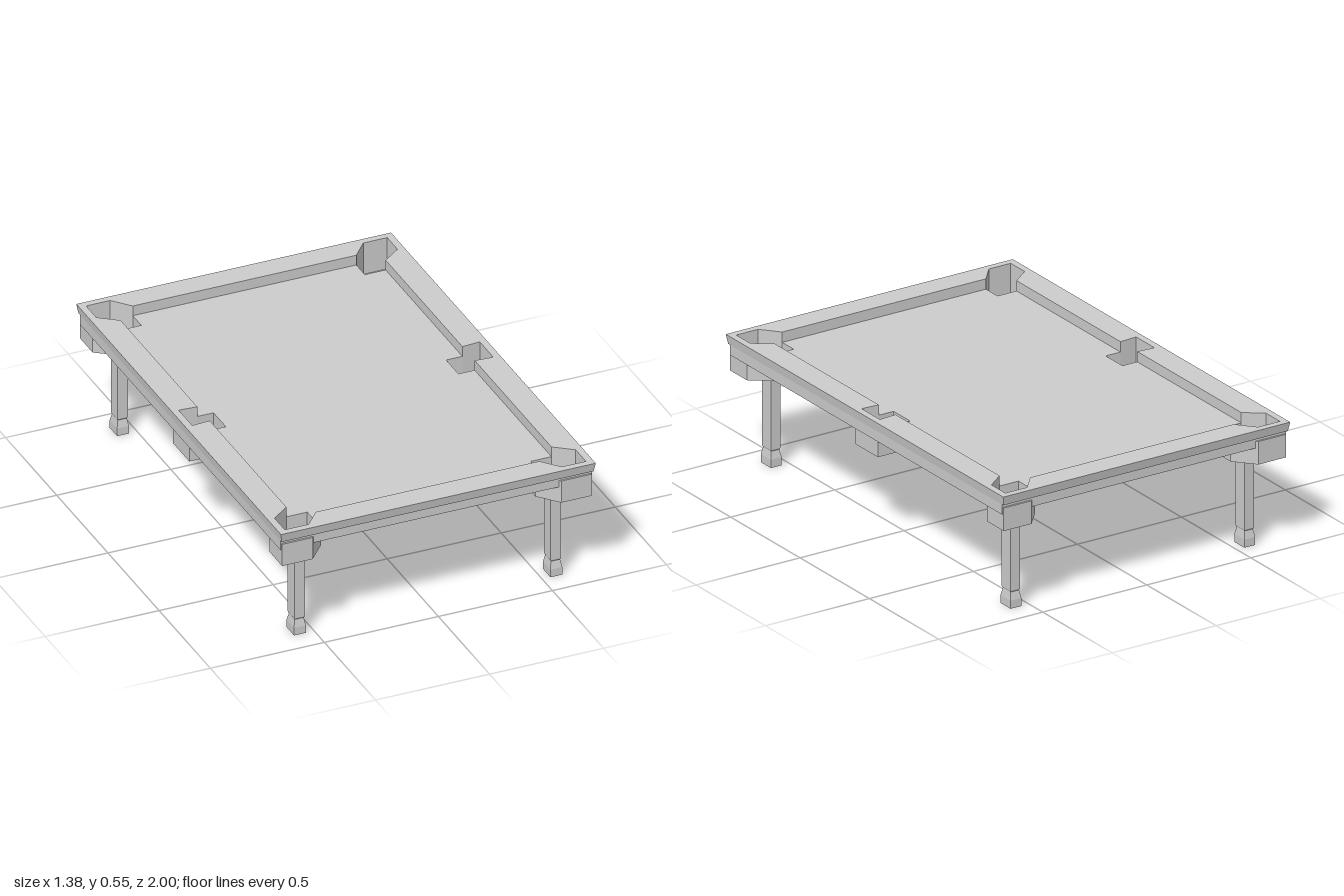
import * as THREE from 'three';

const material = new THREE.MeshStandardMaterial({ color: 0xcccccc, flatShading: true });

// Order an outline of [x, z] points as a loop of the wanted direction
function loop(outline, clockwise) {
  const pts = outline.map(([x, z]) => new THREE.Vector2(x, -z));
  return THREE.ShapeUtils.isClockWise(pts) === clockwise ? pts : pts.reverse();
}

// Extrude a plan outline from height y0 up to y1
function slab(outline, y0, y1, hole) {
  const shape = new THREE.Shape(loop(outline, false));
  if (hole) shape.holes.push(new THREE.Path(loop(hole, true)));
  const geo = new THREE.ExtrudeGeometry(shape, { depth: y1 - y0, bevelEnabled: false });
  geo.rotateX(-Math.PI / 2);
  geo.translate(0, y0, 0);
  return geo;
}

const rect = (x, z) => [[x, z], [-x, z], [-x, -z], [x, -z]];
const flip = (pts, sx, sz) => pts.map(([x, z]) => [x * sx, z * sz]);

// Mirror one quadrant of an outline into a full loop
function fourWay(q) {
  return [
    ...q,
    ...flip(q, -1, 1).reverse(),
    ...flip(q, -1, -1),
    ...flip(q, 1, -1).reverse(),
  ];
}

export function createModel() {
  const table = new THREE.Group();
  table.name = 'poolTable';
  const add = (geo, name) => {
    const mesh = new THREE.Mesh(geo, material);
    mesh.name = name;
    table.add(mesh);
    return mesh;
  };

  // Inner edge of the rails, with pocket notches
  const opening = fourWay([
    [0.66, 0.066], [0.581, 0.06], [0.581, 0.81], [0.66, 0.87],
    [0.66, 0.97], [0.555, 0.97], [0.49, 0.893],
  ]);

  // Rail cap, flaring outward towards the top
  const cap = slab(rect(0.69, 1), 0.505, 0.545, opening);
  const p = cap.attributes.position;
  for (let i = 0; i < p.count; i++) {
    if (p.getY(i) > 0.52) continue;
    p.setX(i, THREE.MathUtils.clamp(p.getX(i), -0.684, 0.684));
    p.setZ(i, THREE.MathUtils.clamp(p.getZ(i), -0.992, 0.992));
  }
  cap.computeVertexNormals();
  add(cap, 'railCap');

  // Apron under the cap
  add(slab(rect(0.683, 0.979), 0.46, 0.505, opening), 'apron');

  // Playing bed, cut away at the six pockets
  const bed = fourWay([
    [0.51, 0.06], [0.581, 0.06], [0.581, 0.81], [0.49, 0.81], [0.49, 0.893],
  ]);
  add(slab(bed, 0.49, 0.5), 'bed');

  // Corner pockets: chamfered cups with a floor
  const cornerOuter = [
    [0.679, 0.987], [0.545, 0.987], [0.47, 0.9], [0.47, 0.79], [0.58, 0.79], [0.679, 0.865],
  ];
  const cornerInner = [
    [0.66, 0.97], [0.555, 0.97], [0.49, 0.893], [0.49, 0.81], [0.581, 0.81], [0.66, 0.87],
  ];
  // Side pockets: rectangular cups
  const sideOuter = [[0.48, -0.08], [0.679, -0.08], [0.679, 0.08], [0.48, 0.08]];
  const sideInner = [
    [0.51, -0.06], [0.581, -0.06], [0.66, -0.066], [0.66, 0.066], [0.581, 0.06], [0.51, 0.06],
  ];
  const cup = (outer, inner, sx, sz, name) => {
    const o = flip(outer, sx, sz);
    add(slab(o, 0.39, 0.4), name + 'Floor');
    add(slab(o, 0.4, 0.49, flip(inner, sx, sz)), name + 'Wall');
  };

  // Square leg with a narrowed ankle and a flared foot
  const profile = [
    [0, 0.012], [0.026, 0], [0.026, 0.035], [0.02, 0.068], [0.023, 0.075], [0.023, 0.392],
  ].map(([w, y]) => new THREE.Vector2(w * Math.SQRT2, y));
  const legGeo = new THREE.LatheGeometry(profile, 4, Math.PI / 4);
  legGeo.scale(1, 1, 1.4);

  for (const sx of [1, -1]) {
    const side = sx > 0 ? 'left' : 'right';
    cup(sideOuter, sideInner, sx, 1, side + 'SidePocket');
    for (const sz of [1, -1]) {
      const corner = side + (sz > 0 ? 'Front' : 'Back');
      cup(cornerOuter, cornerInner, sx, sz, corner + 'Pocket');
      add(legGeo, corner + 'Leg').position.set(0.562 * sx, 0, 0.864 * sz);
    }
  }
  return table;
}
